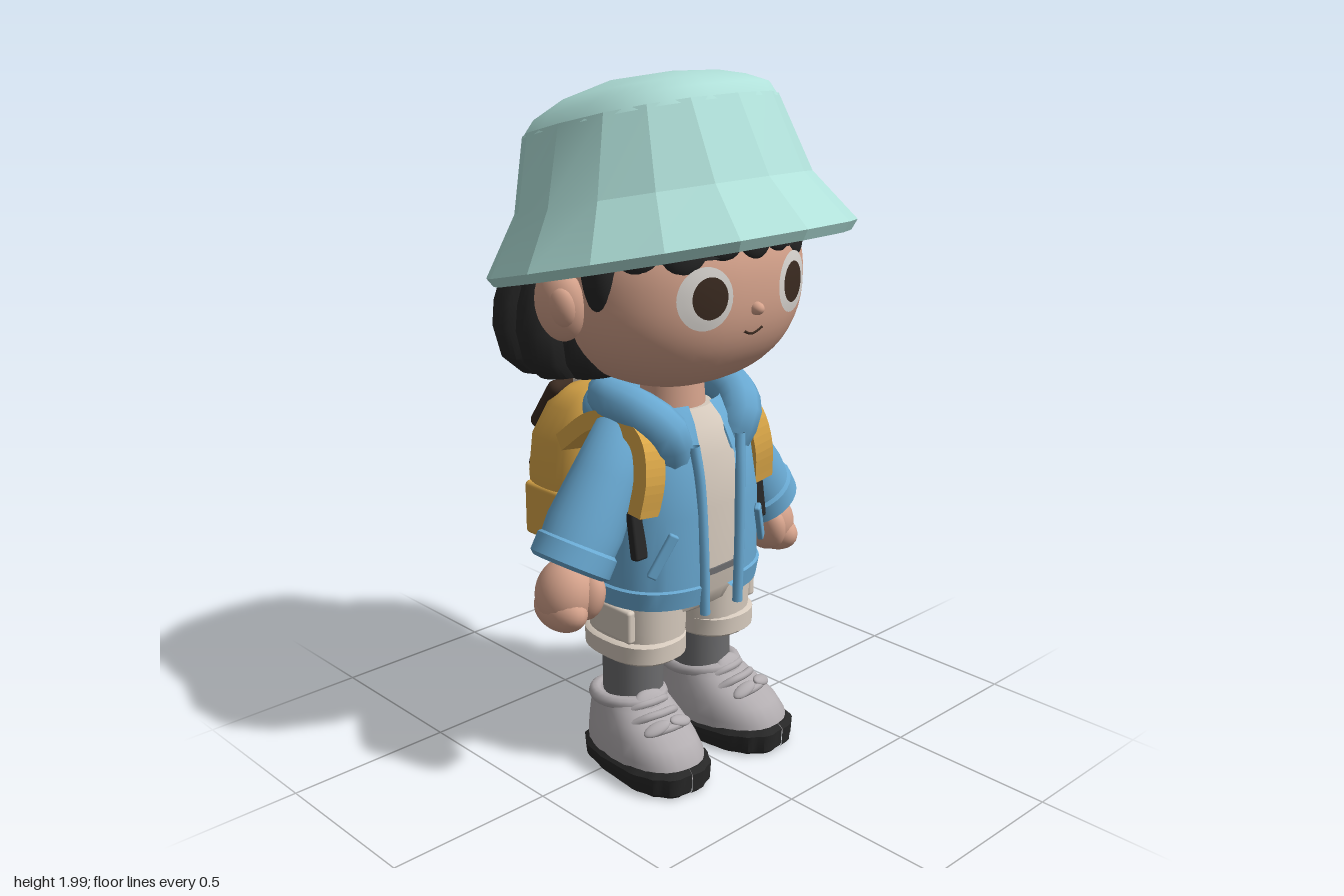
import * as THREE from 'three';
import { toCreasedNormals } from 'three/addons/utils/BufferGeometryUtils.js';
import { RoundedBoxGeometry } from 'three/addons/geometries/RoundedBoxGeometry.js';

const V = (x, y, z) => new THREE.Vector3(x, y, z);
const spow = (v, e) => Math.sign(v) * Math.pow(Math.abs(v), e);
const colour = (name, hex, side = THREE.FrontSide) => {
  const m = new THREE.MeshStandardMaterial({ color: hex, side });
  m.name = name;
  return m;
};

// Stacked super-ellipse rings [y, rx, rz, cz, tilt, power]; angle 0 faces +z
function loft(rings, { n = 28, p = 2, a0 = 0, a1 = Math.PI * 2, caps = true, crease = 0.7, lobe = null } = {}) {
  const list = rings.slice();
  if (caps) {
    const f = rings[0], l = rings[rings.length - 1];
    list.unshift([f[0], 0, 0, f[3]]);
    list.push([l[0], 0, 0, l[3]]);
  }
  const pos = [], idx = [];
  list.forEach(([y, rx, rz, cz = 0, tilt = 0, pw = p], i) => {
    for (let j = 0; j <= n; j++) {
      const a = a0 + (a1 - a0) * j / n, k = lobe ? lobe(a) : 1;
      const dz = rz * k * spow(Math.cos(a), 2 / pw);
      pos.push(rx * k * spow(Math.sin(a), 2 / pw), y + tilt * dz, cz + dz);
      if (i && j < n) {
        const q = (i - 1) * (n + 1) + j, r = q + n + 1;
        idx.push(q, q + 1, r + 1, q, r + 1, r);
      }
    }
  });
  const g = new THREE.BufferGeometry();
  g.setAttribute('position', new THREE.Float32BufferAttribute(pos, 3));
  g.setIndex(idx);
  return toCreasedNormals(g, crease);
}

// Rounded skull and the matching face depth for features that hug it
const HEAD = { y: 1.44, z: 0.02, a: 0.37, b: 0.3, c: 0.31, n: 2.3 };
function skull(k, theta = Math.PI) {
  const g = new THREE.SphereGeometry(1, 48, 32, 0, Math.PI * 2, 0, theta), P = g.attributes.position;
  for (let i = 0; i < P.count; i++) {
    const d = [P.getX(i), P.getY(i), P.getZ(i)];
    const s = k / Math.pow(d.reduce((t, v) => t + Math.pow(Math.abs(v), HEAD.n), 0), 1 / HEAD.n);
    P.setXYZ(i, d[0] * s * HEAD.a, d[1] * s * HEAD.b, d[2] * s * HEAD.c);
  }
  g.computeVertexNormals();
  return g;
}
const faceZ = (x, y) => {
  const e = (v, r) => Math.pow(Math.abs(v / r), HEAD.n);
  return HEAD.z + HEAD.c * Math.pow(Math.max(0, 1 - e(x, HEAD.a) - e(y - HEAD.y, HEAD.b)), 1 / HEAD.n);
};
function facePatch(x, y, rx, ry, off) {
  const g = new THREE.RingGeometry(0, 1, 32, 5), P = g.attributes.position;
  for (let i = 0; i < P.count; i++) {
    const px = x + P.getX(i) * rx, py = y + P.getY(i) * ry;
    P.setXYZ(i, px, py, faceZ(px, py) + off);
  }
  g.computeVertexNormals();
  return g;
}

// Flat strap following a path in the z-y plane, extruded across x
function strapGeometry(points, thick, width, pivotY) {
  const c = new THREE.CatmullRomCurve3(points.map(([z, y]) => V(z, y - pivotY, 0)));
  const side = d => Array.from({ length: 25 }, (_, i) => {
    const p = c.getPoint(i / 24), t = c.getTangent(i / 24);
    return new THREE.Vector2(p.x - t.y * d, p.y + t.x * d);
  });
  const shape = new THREE.Shape([...side(thick / 2), ...side(-thick / 2).reverse()]);
  const g = new THREE.ExtrudeGeometry(shape, { depth: width, bevelEnabled: false });
  return g.translate(0, 0, -width / 2).rotateY(-Math.PI / 2);
}

export function createModel() {
  const root = new THREE.Group();
  root.name = 'hiker';
  const mint = colour('hat mint', 0xb0e0d9), skin = colour('skin', 0xd6a38c), black = colour('black', 0x272727);
  const blue = colour('jacket blue', 0x69a9d2, THREE.DoubleSide), beige = colour('beige', 0xd6cabd);
  const mustard = colour('mustard', 0xdba748), brown = colour('brown', 0x3a2a20), sock = colour('sock grey', 0x6c6c6e);
  const grey = colour('shoe grey', 0xb2adb0), white = colour('eye white', 0xd8d4cf);

  const add = (name, geo, mat, pos = [0, 0, 0], rot = [0, 0, 0], parent = root) => {
    const m = new THREE.Mesh(geo, mat);
    m.name = name;
    m.position.set(...pos);
    m.rotation.set(...rot);
    parent.add(m);
    return m;
  };
  const ball = (name, mat, pos, r, rot, parent) =>
    add(name, new THREE.SphereGeometry(1, 24, 16).scale(...r), mat, pos, rot, parent);
  const box = (name, mat, pos, s, r, rot) => add(name, new RoundedBoxGeometry(...s, 3, r), mat, pos, rot);
  const tube = (name, mat, pts, r, parent) =>
    add(name, new THREE.TubeGeometry(new THREE.CatmullRomCurve3(pts.map(p => V(...p))), 32, r, 10), mat, undefined, undefined, parent);
  const limb = (name, mat, a, b, rings) => {
    const d = V(...b).sub(V(...a)), len = d.length();
    const m = add(name, loft(rings.map(([t, r]) => [t * len, r, r])), mat, a);
    m.quaternion.setFromUnitVectors(V(0, 1, 0), d.normalize());
  };

  // Bucket hat: hollow faceted brim and wall, then a smooth squarish dome
  add('hatBrimAndWall', loft([
    [1.72, 0, 0, -0.03], [1.65, 0.375, 0.365, -0.03, 0.2], [1.482, 0.485, 0.48, 0.005, 0.235],
    [1.508, 0.503, 0.497, 0.003, 0.235], [1.66, 0.405, 0.393, -0.028, 0.215], [1.865, 0.322, 0.332, -0.08, 0.24, 2.5],
  ], { n: 16, p: 2.15, caps: false, crease: 0.25 }), mint);
  add('hatTop', loft([
    [1.855, 0.32, 0.331, -0.08, 0.24], [1.9, 0.293, 0.302, -0.075, 0.235], [1.94, 0.23, 0.23, -0.06, 0.2],
    [1.974, 0.135, 0.135, -0.02, 0.14], [1.987, 0, 0, 0.01],
  ], { n: 32, p: 2.6, caps: false, crease: 0.9 }), mint);

  // Head, hair and face
  add('head', skull(1), skin, [0, HEAD.y, HEAD.z]);
  add('hairCap', skull(1.05, 1.15), black, [0, HEAD.y, HEAD.z]);
  add('backHair', loft([
    [1.165, 0.25, 0.13, -0.17], [1.18, 0.35, 0.19, -0.17], [1.23, 0.405, 0.225, -0.17], [1.32, 0.43, 0.24, -0.168],
    [1.39, 0.425, 0.24, -0.165], [1.47, 0.405, 0.225, -0.155], [1.57, 0.34, 0.19, -0.13],
  ], { n: 120, p: 2.2, lobe: a => 0.93 + 0.11 * Math.sqrt(Math.abs(Math.sin(a * 6))) }), black);
  for (const x of [-0.28, -0.2, -0.1, 0.01, 0.11, 0.2, 0.28])
    ball('fringeLock', black, [x, 1.6 - Math.abs(x) * 0.14, faceZ(x, 1.59) - 0.005], [0.07, 0.072 + 0.01 * Math.cos(x * 30), 0.036], [-0.2, x * 2.2, x]);
  for (const s of [1, -1]) {
    ball('sideLock', black, [s * 0.342, 1.515, 0.1], [0.05, 0.135, 0.052], [0, s * -0.3, s * -0.1]);
    ball('templeHair', black, [s * 0.36, 1.57, 0.0], [0.05, 0.08, 0.15]);
    ball('ear', skin, [s * 0.395, 1.415, 0.0], [0.055, 0.105, 0.07], [0, s * -0.35, s * -0.2]);
    ball('earInner', skin, [s * 0.415, 1.415, 0.03], [0.03, 0.06, 0.04], [0, s * -0.35, s * -0.2]);
    add('eyeWhite', facePatch(s * 0.165, 1.44, 0.077, 0.084, 0.004), white);
    add('iris', facePatch(s * 0.157, 1.442, 0.05, 0.056, 0.008), brown);
    add('eyebrow', facePatch(s * 0.15, 1.546, 0.034, 0.007, 0.006), black);
  }
  ball('nose', skin, [0, 1.395, 0.33], [0.018, 0.018, 0.024]);
  tube('mouth', brown, [-0.035, -0.017, 0, 0.017, 0.035].map((x, i) => {
    const y = 1.338 - [0, 0.009, 0.013, 0.009, 0][i];
    return [x, y, faceZ(x, y)];
  }), 0.0035);
  add('neck', new THREE.CylinderGeometry(0.085, 0.1, 0.2, 24), skin, [0, 1.11, 0.01]);

  // Shirt and open jacket
  add('shirt', loft([
    [0.6, 0.235, 0.185, 0], [0.8, 0.235, 0.19, 0], [0.95, 0.2, 0.18, 0], [1.03, 0.15, 0.15, 0], [1.075, 0.11, 0.115, 0],
  ], { p: 2.5 }), beige);
  const gap = 0.19;
  add('jacketBody', loft([
    [0.545, 0.235, 0.18, 0.0], [0.53, 0.262, 0.212, 0.0], [0.585, 0.27, 0.222, 0.0], [0.59, 0.262, 0.215, 0.0],
    [0.8, 0.26, 0.215, 0.0], [0.95, 0.237, 0.205, -0.005], [1.05, 0.195, 0.175, -0.02], [1.09, 0.155, 0.15, -0.03],
  ], { n: 48, p: 2.5, a0: gap, a1: Math.PI * 2 - gap, caps: false, crease: 0.5 }), blue);
  tube('hoodCollar', blue, [
    [-0.11, 0.95, 0.12], [-0.145, 1.04, 0.14], [-0.18, 1.09, 0.07], [-0.17, 1.105, -0.07], [0, 1.1, -0.155],
    [0.17, 1.105, -0.07], [0.18, 1.09, 0.07], [0.145, 1.04, 0.14], [0.11, 0.95, 0.12],
  ], 0.062);
  ball('hoodBack', blue, [0, 1.06, -0.12], [0.21, 0.1, 0.1]);
  for (const s of [1, -1]) {
    tube('zipEdge', blue, [[s * 0.09, 1.0, 0.192], [s * 0.08, 0.9, 0.204], [s * 0.072, 0.7, 0.213], [s * 0.066, 0.5, 0.214]], 0.015);
    box('jacketPocket', blue, [s * 0.195, 0.7, 0.176], [0.03, 0.14, 0.018], 0.006, [0, s * 0.55, s * 0.5]);

    // Sleeve, cuff and hand
    limb('sleeve', blue, [s * 0.155, 1.05, 0], [s * 0.385, 0.685, 0.005], [[0, 0.06], [0.08, 0.085], [0.4, 0.098], [0.75, 0.112], [1, 0.105]]);
    limb('cuff', blue, [s * 0.352, 0.735, 0.005], [s * 0.39, 0.672, 0.005], [[0, 0.108], [0.12, 0.118], [0.85, 0.118], [1, 0.105]]);
    ball('hand', skin, [s * 0.408, 0.605, 0.01], [0.08, 0.1, 0.09], [0, 0, s * 0.25]);
    ball('thumb', skin, [s * 0.37, 0.6, 0.07], [0.038, 0.068, 0.045], [0.2, 0, s * 0.2]);
    ball('fingers', skin, [s * 0.43, 0.565, 0.015], [0.056, 0.062, 0.095], [0, 0, s * 0.2]);

    // Shoulder strap and the webbing that runs under the arm
    add('shoulderStrap', strapGeometry([[0.135, 0.82], [0.145, 0.93], [0.115, 1.02], [0.03, 1.06], [-0.08, 1.04], [-0.2, 0.95]], 0.05, 0.072, 0.95),
      mustard, [s * 0.212, 0.95, 0], [0, 0, s * 0.13]);
    box('frontWebbing', black, [s * 0.24, 0.76, 0.12], [0.045, 0.14, 0.03], 0.008, [-0.15, 0, 0]);
    box('sideWebbing', black, [s * 0.228, 0.695, -0.12], [0.035, 0.055, 0.32], 0.008, [0, s * 0.165, 0]);

    // Shorts leg, turn-up and cargo pocket
    const leg = loft([[0.37, 0.112, 0.145], [0.45, 0.122, 0.148], [0.6, 0.124, 0.15]], { p: 2.4 });
    add('shortsLeg', leg, beige, [s * 0.132, 0, 0]);
    add('turnUp', loft([[0.35, 0.11, 0.145], [0.36, 0.122, 0.157], [0.41, 0.124, 0.157], [0.418, 0.112, 0.145]], { p: 2.4 }), beige, [s * 0.14, 0, 0]);
    box('cargoPocket', beige, [s * 0.245, 0.475, 0.03], [0.028, 0.1, 0.15], 0.01);
    add('sock', new THREE.CylinderGeometry(0.087, 0.085, 0.24, 24).scale(1, 1, 1.1), sock, [s * 0.14, 0.28, -0.01]);

    // Shoe
    const shoe = new THREE.Group();
    shoe.name = 'shoe';
    shoe.position.set(s * 0.154, 0, 0);
    shoe.rotation.y = s * 0.12;
    root.add(shoe);
    add('sole', loft([[0, 0.122, 0.21, 0.07], [0.012, 0.132, 0.222, 0.07], [0.052, 0.135, 0.225, 0.07, 0.06], [0.066, 0.122, 0.21, 0.07, 0.06]],
      { n: 56, p: 2.6, lobe: a => 1 + 0.012 * Math.sign(Math.sin(a * 14)) }), black, undefined, undefined, shoe);
    add('shoeUpper', loft([
      [0.04, 0.126, 0.214, 0.068], [0.09, 0.126, 0.21, 0.066], [0.13, 0.118, 0.192, 0.05], [0.165, 0.108, 0.16, 0.022],
      [0.195, 0.1, 0.132, -0.008], [0.215, 0.095, 0.118, -0.022, 0.08],
    ], { p: 2.4, crease: 0.9 }), grey, undefined, undefined, shoe);
    add('shoeCollar', new THREE.TorusGeometry(0.09, 0.02, 10, 28).rotateX(Math.PI / 2).scale(1, 1, 1.2), grey, [0, 0.203, -0.02], [-0.1, 0, 0], shoe);
    for (const [y, z, w] of [[0.165, 0.19, 0.08], [0.192, 0.145, 0.085], [0.212, 0.105, 0.08]])
      tube('lace', grey, [[-w, y - 0.03, z - 0.045], [-w / 2, y, z - 0.008], [0, y + 0.004, z], [w / 2, y, z - 0.008], [w, y - 0.03, z - 0.045]], 0.012, shoe);
    for (const t of [1, -1])
      ball('bowLoop', grey, [t * 0.042, 0.175, 0.18], [0.042, 0.013, 0.02], [0.5, 0, t * -0.35], shoe);
    ball('tongue', grey, [0, 0.208, 0.09], [0.055, 0.042, 0.022], [-0.5, 0, 0], shoe);
  }
  add('shortsSeat', loft([[0.46, 0.1, 0.11], [0.485, 0.225, 0.145], [0.53, 0.242, 0.16], [0.6, 0.242, 0.178]], { p: 2.5 }), beige);
  add('belt', loft([[0.597, 0.24, 0.191], [0.615, 0.24, 0.191]], { p: 2.5 }), sock);

  // Backpack
  add('backpack', loft([
    [0.575, 0.14, 0.09, -0.31], [0.595, 0.18, 0.12, -0.315], [0.65, 0.2, 0.14, -0.32], [0.8, 0.205, 0.147, -0.322],
    [0.92, 0.197, 0.14, -0.315], [1.02, 0.17, 0.11, -0.29], [1.075, 0.125, 0.07, -0.265], [1.09, 0.06, 0.04, -0.26],
  ], { n: 40, p: 3.2, crease: 0.9 }), mustard);
  box('packFlap', brown, [0, 1.0, -0.4], [0.3, 0.19, 0.05], 0.024, [0.62, 0, 0]);
  box('packPocket', brown, [0, 0.735, -0.46], [0.265, 0.19, 0.075], 0.036);
  box('pocketFlap', brown, [0, 0.795, -0.464], [0.275, 0.06, 0.07], 0.028);
  tube('packHandle', beige, [[-0.06, 1.05, -0.33], [-0.048, 1.115, -0.325], [0, 1.14, -0.325], [0.048, 1.115, -0.325], [0.06, 1.05, -0.33]], 0.02);
  for (const s of [1, -1]) {
    ball('flapPatch', beige, [s * 0.095, 0.99, -0.437], [0.029, 0.048, 0.008], [0.62, 0, s * 0.4]);
    box('sidePocket', mustard, [s * 0.192, 0.69, -0.33], [0.035, 0.17, 0.18], 0.016);
  }

  // Trekking pole carried upright on the left of the pack
  const pole = [
    ['poleGrip', black, 0.037, 0.033, 1.0, 1.165], ['poleShaft', black, 0.027, 0.03, 0.7, 1.0], ['poleClamp', black, 0.04, 0.04, 0.68, 0.73],
    ['poleCollar', black, 0.038, 0.036, 0.95, 0.985], ['poleLower', grey, 0.026, 0.022, 0.46, 0.7],
    ['poleBasket', black, 0.043, 0.036, 0.45, 0.485], ['poleTip', black, 0.026, 0.021, 0.38, 0.455],
  ];
  for (const [name, mat, r1, r0, y0, y1] of pole)
    add(name, new THREE.CylinderGeometry(r1, r0, y1 - y0, 16), mat, [0.268, (y0 + y1) / 2, -0.265]);
  return root;
}
